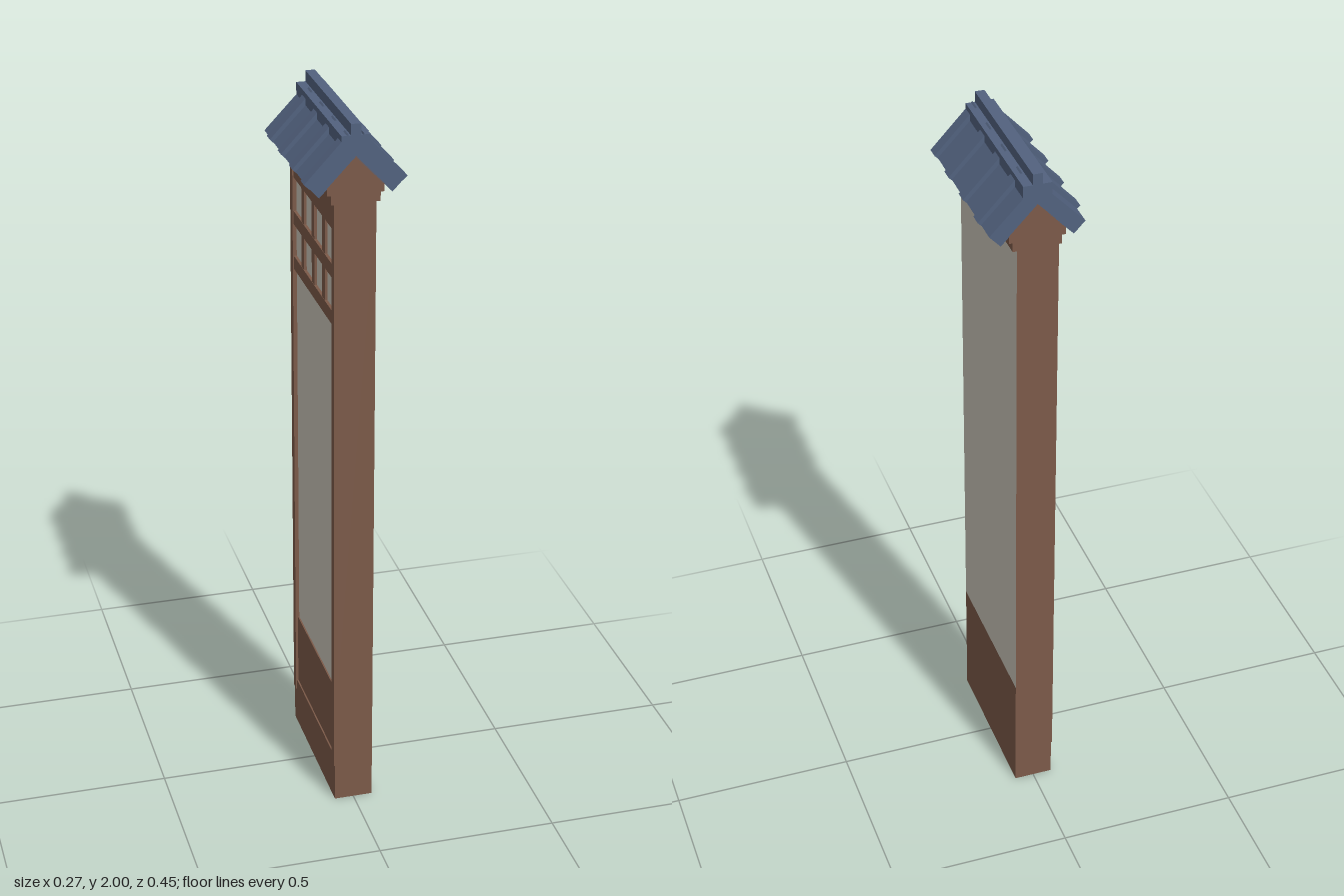
import * as THREE from 'three';

export function createModel() {
  const wood = new THREE.MeshStandardMaterial({ color: 0x7c5a49 });
  wood.name = 'brown wood';
  const plaster = new THREE.MeshStandardMaterial({ color: 0xcac5b9 });
  plaster.name = 'cream plaster';
  const tile = new THREE.MeshStandardMaterial({ color: 0x52627f });
  tile.name = 'blue roof tile';

  const model = new THREE.Group();
  model.name = 'roofedWallPanel';
  const HALF = 0.226; // half the length along z

  // Box given by its limits on each axis
  function box(name, mat, x0, x1, y0, y1, z0 = -HALF, z1 = HALF) {
    const mesh = new THREE.Mesh(new THREE.BoxGeometry(x1 - x0, y1 - y0, z1 - z0), mat);
    mesh.position.set((x0 + x1) / 2, (y0 + y1) / 2, (z0 + z1) / 2);
    mesh.name = name;
    model.add(mesh);
    return mesh;
  }

  // Outline in x and y, extruded along z
  function prism(name, mat, points, z0 = -HALF, z1 = HALF) {
    const shape = new THREE.Shape(points.map(([x, y]) => new THREE.Vector2(x, y)));
    const geo = new THREE.ExtrudeGeometry(shape, { depth: z1 - z0, bevelEnabled: false });
    const mesh = new THREE.Mesh(geo, mat);
    mesh.position.z = z0;
    mesh.name = name;
    model.add(mesh);
    return mesh;
  }

  // Wall core: plaster on both broad faces, wood on the ends
  const inner = -0.046, frame = -0.057, face = 0.054;
  box('lowerWall', wood, inner, face, 0, 0.35);
  box('upperWall', [plaster, plaster, wood, wood, wood, wood], inner, face, 0.35, 1.79);

  // Frame on the -x side
  for (const s of [-1, 1]) {
    const a = s * 0.201, b = s * HALF;
    box('sidePost', wood, frame, inner, 0.11, 1.79, Math.min(a, b), Math.max(a, b));
  }
  box('baseBoard', wood, -0.054, inner, 0, 0.14);
  box('lowerPanel', wood, -0.05, inner, 0.14, 0.355, -0.201, 0.201);

  // Lattice of two rows and four columns
  for (const [y0, y1] of [[1.45, 1.488], [1.58, 1.618], [1.715, 1.79]]) {
    box('latticeRail', wood, -0.054, inner, y0, y1, -0.201, 0.201);
  }
  for (let i = -1; i <= 1; i++) {
    const z = i * 0.107;
    box('latticeMullion', wood, -0.053, inner, 1.488, 1.715, z - 0.0135, z + 0.0135);
  }

  // Stepped gable beam under the roof
  prism('gableBeam', wood, [
    [-0.065, 1.79], [0.065, 1.79], [0.065, 1.815], [0.075, 1.815], [0.075, 1.836],
    [0, 1.915], [-0.075, 1.836], [-0.075, 1.815], [-0.065, 1.815],
  ]);

  // Roof slopes, with raised battens
  const mirror = (pts) => pts.map(([x, y]) => [-x, y]).reverse();
  const slab = [[0, 1.912], [0.096, 1.812], [0.126, 1.844], [0, 1.976]];
  const batten = [[0.01, 1.95], [0.122, 1.838], [0.135, 1.851], [0.02, 1.974]];
  for (const side of [(p) => p, mirror]) {
    prism('roofSlope', tile, side(slab));
    for (let i = 0; i < 4; i++) {
      const z = 0.209 - i * 0.1185;
      prism('roofBatten', tile, side(batten), z - 0.017, z + 0.017);
    }
  }

  // Ridge
  box('ridgeCap', tile, -0.038, 0.038, 1.937, 1.97);
  box('ridgeCrest', tile, -0.013, 0.013, 1.965, 2);

  return model;
}
